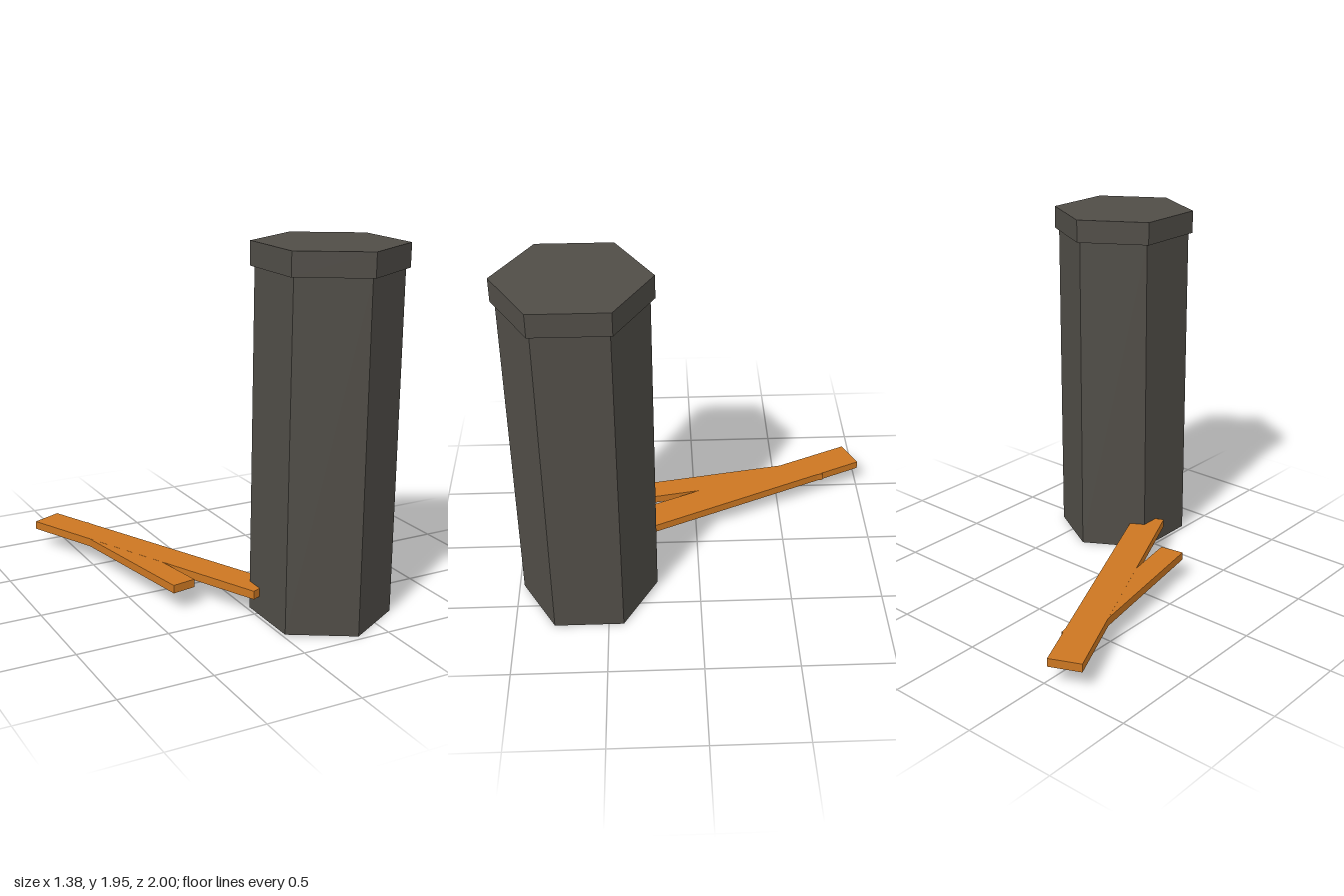
import * as THREE from 'three';

const charcoal = new THREE.MeshStandardMaterial({ color: 0x504d47, flatShading: true });
charcoal.name = 'charcoal';
const ochre = new THREE.MeshStandardMaterial({ color: 0xcc7722, flatShading: true });
ochre.name = 'ochre wood';

// Six-sided prism with corners pointing to front and back
function hexPrism(name, radius, bottom, top) {
  const mesh = new THREE.Mesh(new THREE.CylinderGeometry(radius, radius, top - bottom, 6), charcoal);
  mesh.name = name;
  mesh.position.y = (bottom + top) / 2;
  return mesh;
}

// Flat plank lying level, turned about the vertical
function plank(name, width, thickness, length, x, z, yaw) {
  const mesh = new THREE.Mesh(new THREE.BoxGeometry(width, thickness, length), ochre);
  mesh.name = name;
  mesh.position.set(x, 0.133, z);
  mesh.rotation.y = yaw;
  return mesh;
}

export function createModel() {
  const model = new THREE.Group();
  model.name = 'columnWithBranch';

  // Column, leaning very slightly sideways
  const column = new THREE.Group();
  column.name = 'column';
  column.position.set(0.335, 0.005, 0.605);
  column.rotation.z = -0.006;
  column.add(hexPrism('shaft', 0.37, 0, 1.83));
  column.add(hexPrism('cap', 0.393, 1.823, 1.947));
  model.add(column);

  // Forked branch reaching out towards the back
  model.add(plank('longPlank', 0.178, 0.046, 1.616, -0.278, -0.229, 0.42));
  model.add(plank('shortPlank', 0.134, 0.045, 1.057, -0.391, -0.246, 0.1745));
  return model;
}
